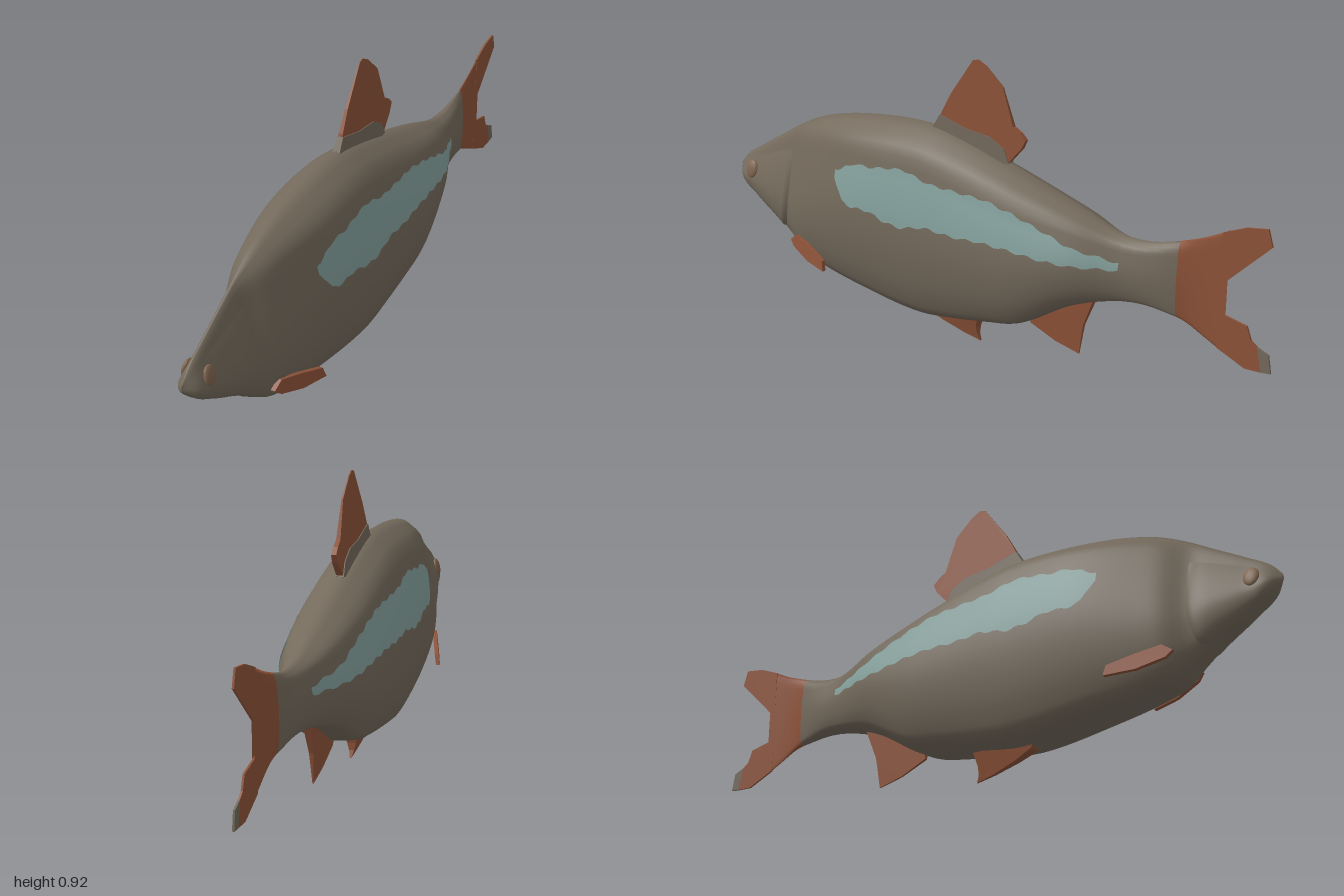
import * as THREE from 'three';
import { mergeVertices } from 'three/addons/utils/BufferGeometryUtils.js';

const lerp = THREE.MathUtils.lerp;

// Body stations: z, back height, belly height, half width, share of head profile
const stations = [
  [-0.85, 0.57, 0.2, 0.003, 0], [-0.78, 0.535, 0.235, 0.004, 0], [-0.73, 0.515, 0.26, 0.01, 0],
  [-0.67, 0.495, 0.275, 0.026, 0], [-0.6, 0.48, 0.285, 0.04, 0], [-0.52, 0.482, 0.278, 0.055, 0],
  [-0.38, 0.53, 0.235, 0.107, 0], [-0.2, 0.592, 0.13, 0.14, 0], [-0.1, 0.625, 0.108, 0.146, 0],
  [0.05, 0.668, 0.082, 0.149, 0], [0.16, 0.69, 0.07, 0.15, 0], [0.42, 0.678, 0.1, 0.14, 0],
  [0.6, 0.64, 0.13, 0.115, 0.3], [0.67, 0.612, 0.15, 0.1, 0.5], [0.74, 0.575, 0.195, 0.066, 0.9],
  [0.79, 0.545, 0.235, 0.063, 1], [0.9, 0.48, 0.3, 0.046, 1], [0.97, 0.435, 0.35, 0.033, 1],
  [1, 0.4, 0.385, 0, 1],
];
// Half cross-sections from back to belly: body x, body y, head x, head y
const profile = [
  [0, 1, 0, 1], [0.6, 0.8, 0.2, 0.87], [0.8, 0.5, 0.45, 0.55], [0.96, 0.12, 0.75, 0.15],
  [1, -0.2, 0.98, -0.25], [0.94, -0.52, 1, -0.55], [0.81, -0.77, 0.85, -0.83],
  [0.6, -0.94, 0.5, -0.97], [0, -1, 0, -1],
];
const alongBody = new THREE.CubicInterpolant(
  stations.map((s) => s[0]), new Float32Array(stations.flatMap((s) => s.slice(1))), 4);
const aroundBody = new THREE.CubicInterpolant(
  profile.map((p, i) => i), new Float32Array(profile.flat()), 4);

// Point on the left flank at length z and profile position s (0 back, 8 belly)
function surface(z, s) {
  const [top, bottom, width, head] = alongBody.evaluate(z);
  const [bx, by, hx, hy] = aroundBody.evaluate(s);
  const y = (top + bottom) / 2 + lerp(by, hy, head) * (top - bottom) / 2;
  return [width * lerp(bx, hx, head), y, z];
}

// Profile position at which the flank reaches height y
function profileAt(z, y) {
  let lo = 0, hi = 8;
  for (let i = 0; i < 20; i++) {
    const mid = (lo + hi) / 2;
    if (surface(z, mid)[1] > y) lo = mid; else hi = mid;
  }
  return lo;
}

// Smooth surface over a u, v grid
function grid(nu, nv, point) {
  const positions = [], index = [];
  for (let i = 0; i <= nu; i++) {
    for (let j = 0; j <= nv; j++) positions.push(...point(i / nu, j / nv));
  }
  for (let i = 0; i < nu; i++) {
    for (let j = 0; j < nv; j++) {
      const a = i * (nv + 1) + j, c = a + nv + 1;
      index.push(a, c, a + 1, a + 1, c, c + 1);
    }
  }
  let geometry = new THREE.BufferGeometry();
  geometry.setAttribute('position', new THREE.Float32BufferAttribute(positions, 3));
  geometry.setIndex(index);
  geometry = mergeVertices(geometry, 1e-5);
  geometry.computeVertexNormals();
  return geometry;
}

// Closed rings around the body between two lengths
function loft(rows, zAt) {
  return grid(rows, 48, (u, v) => {
    const s = v <= 0.5 ? v * 16 : (1 - v) * 16;
    const [x, y, z] = surface(zAt(u), s);
    return [v <= 0.5 ? x : -x, y, z];
  });
}

// Thin layer lying on one flank; place(u, v) gives z, profile position and lift
function skin(side, nu, nv, place) {
  return grid(nu, nv, (u, v) => {
    const [z, s, lift] = place(u, side > 0 ? v : 1 - v);
    const [x, y] = surface(z, s);
    return [side * (x + lift), y, z];
  });
}

// Fin plate from a z, y outline, with rules for its thickness and sideways offset
function fin(outline, thickness, offset = () => 0) {
  const shape = new THREE.Shape(outline.map(([z, y]) => new THREE.Vector2(-z, y)));
  const geometry = new THREE.ExtrudeGeometry(shape, { depth: 1, bevelEnabled: false });
  geometry.rotateY(Math.PI / 2);
  const p = geometry.attributes.position;
  for (let i = 0; i < p.count; i++) {
    const y = p.getY(i), z = p.getZ(i);
    p.setX(i, offset(z, y) + (p.getX(i) - 0.5) * thickness(z, y));
  }
  geometry.computeVertexNormals();
  return geometry;
}

// Flank stripe: z, upper edge, lower edge
const stripe = [
  [-0.53, 0.41, 0.388], [-0.4, 0.435, 0.385], [-0.3, 0.472, 0.39], [-0.2, 0.505, 0.4],
  [-0.1, 0.53, 0.405], [0, 0.535, 0.4], [0.1, 0.54, 0.407], [0.2, 0.565, 0.385],
  [0.27, 0.558, 0.395], [0.32, 0.548, 0.412], [0.4, 0.545, 0.408], [0.44, 0.525, 0.42],
  [0.455, 0.515, 0.45], [0.48, 0.512, 0.485],
];
const stripeEdges = new THREE.LinearInterpolant(
  stripe.map((s) => s[0]), new Float32Array(stripe.flatMap((s) => s.slice(1))), 2);

export function createModel() {
  const group = new THREE.Group();
  const material = (name, color) => {
    const m = new THREE.MeshStandardMaterial({ color, side: THREE.DoubleSide });
    m.name = name;
    return m;
  };
  const taupe = material('taupe skin', 0x746a5c);
  const rust = material('rust fin', 0x8e5339);
  const teal = material('pale teal stripe', 0x84a09c);
  const eyeBrown = material('eye brown', 0x80654f);
  const add = (name, geometry, mat) => {
    const mesh = new THREE.Mesh(geometry, mat);
    mesh.name = name;
    group.add(mesh);
    return mesh;
  };

  // Body and root of the tail
  add('body', loft(80, (u) => lerp(-0.7, 1, Math.sin(u * Math.PI / 2))), taupe);
  add('tailRoot', loft(10, (u) => lerp(-0.85, -0.7, u)), rust);

  // Tail lobes
  const thin = () => 0.006;
  add('upperTailLobe', fin([[-0.83, 0.56], [-0.83, 0.41], [-0.85, 0.42], [-0.98, 0.55],
    [-0.965, 0.6], [-0.9, 0.59]], thin), rust);
  add('lowerTailLobe', fin([[-0.83, 0.21], [-0.92, 0.17], [-0.97, 0.172], [-0.955, 0.245],
    [-0.935, 0.26], [-0.92, 0.3], [-0.85, 0.315], [-0.83, 0.32]], thin), rust);
  add('lowerTailTip', fin([[-0.97, 0.172], [-1, 0.175], [-0.99, 0.23], [-0.955, 0.245]], thin), taupe);

  // Dorsal fin on a skin-coloured base
  const dorsalThickness = (z, y) => Math.max(0.003, 0.016 * (0.92 - y) / 0.22);
  add('dorsalFin', fin([[0.155, 0.68], [0.135, 0.735], [0.1, 0.8], [0.02, 0.915], [0, 0.92],
    [-0.03, 0.905], [-0.09, 0.85], [-0.13, 0.735], [-0.155, 0.72], [-0.175, 0.7],
    [-0.16, 0.67], [-0.11, 0.615], [-0.05, 0.62]], dorsalThickness), rust);
  add('dorsalBase', fin([[0.167, 0.68], [0.14, 0.727], [0.04, 0.7], [-0.05, 0.69],
    [-0.1, 0.662], [-0.12, 0.62], [-0.05, 0.61]], (z, y) => dorsalThickness(z, y) + 0.006), taupe);

  // Belly fins on the centre line
  add('analFin', fin([[-0.2, 0.16], [-0.2, 0.118], [-0.29, 0.08], [-0.375, 0.06], [-0.385, 0.13],
    [-0.39, 0.16], [-0.427, 0.255], [-0.35, 0.27]],
  (z, y) => 0.004 + 0.1 * Math.max(0, y - 0.06)), rust);
  add('pelvicFin', fin([[0.2, 0.085], [0.19, 0.065], [0.13, 0.04], [0.05, 0.015], [-0.01, 0.002],
    [0, 0.025], [0, 0.05], [-0.01, 0.09]], (z, y) => 0.004 + 0.5 * Math.max(0, y)), rust);

  for (const side of [1, -1]) {
    const name = side > 0 ? 'left' : 'right';

    add(name + 'Stripe', skin(side, 70, 10, (u, v) => {
      const z = lerp(-0.53, 0.48, u);
      const [upper, lower] = stripeEdges.evaluate(z);
      const wobble = 0.004 * Math.sin(z * 90);
      return [z, profileAt(z, lerp(upper + wobble, lower + wobble, v)), 0.004];
    }), teal);

    // Gill cover with a raised rear edge
    add(name + 'GillCover', skin(side, 14, 16, (u, v) => {
      const z = lerp(0.722 + 0.058 * v ** 3, 0.93, u);
      const lift = u === 0 ? -0.012 : 0.011 * (1 - u) * Math.sin(Math.PI * v) ** 0.6;
      return [z, lerp(1.8, 7.2, v), lift];
    }), taupe);

    // Pectoral fin sweeping out from behind the gill
    add(name + 'PectoralFin', fin([[0.7, 0.215], [0.67, 0.237], [0.6, 0.22], [0.52, 0.195],
      [0.512, 0.163], [0.6, 0.17], [0.68, 0.195]], () => 0.014,
    (z, y) => side * (0.095 + (0.69 - z) * 0.27 + (0.2 - y) * 0.15)), rust);

    // Eye
    const eye = add(name + 'Eye', new THREE.SphereGeometry(1, 20, 14), eyeBrown);
    const [x, y, z] = surface(0.92, profileAt(0.92, 0.4));
    eye.scale.set(0.01, 0.031, 0.024);
    eye.position.set(side * (x + 0.002), y, z);
    eye.rotation.z = side * 0.25;
  }
  return group;
}
